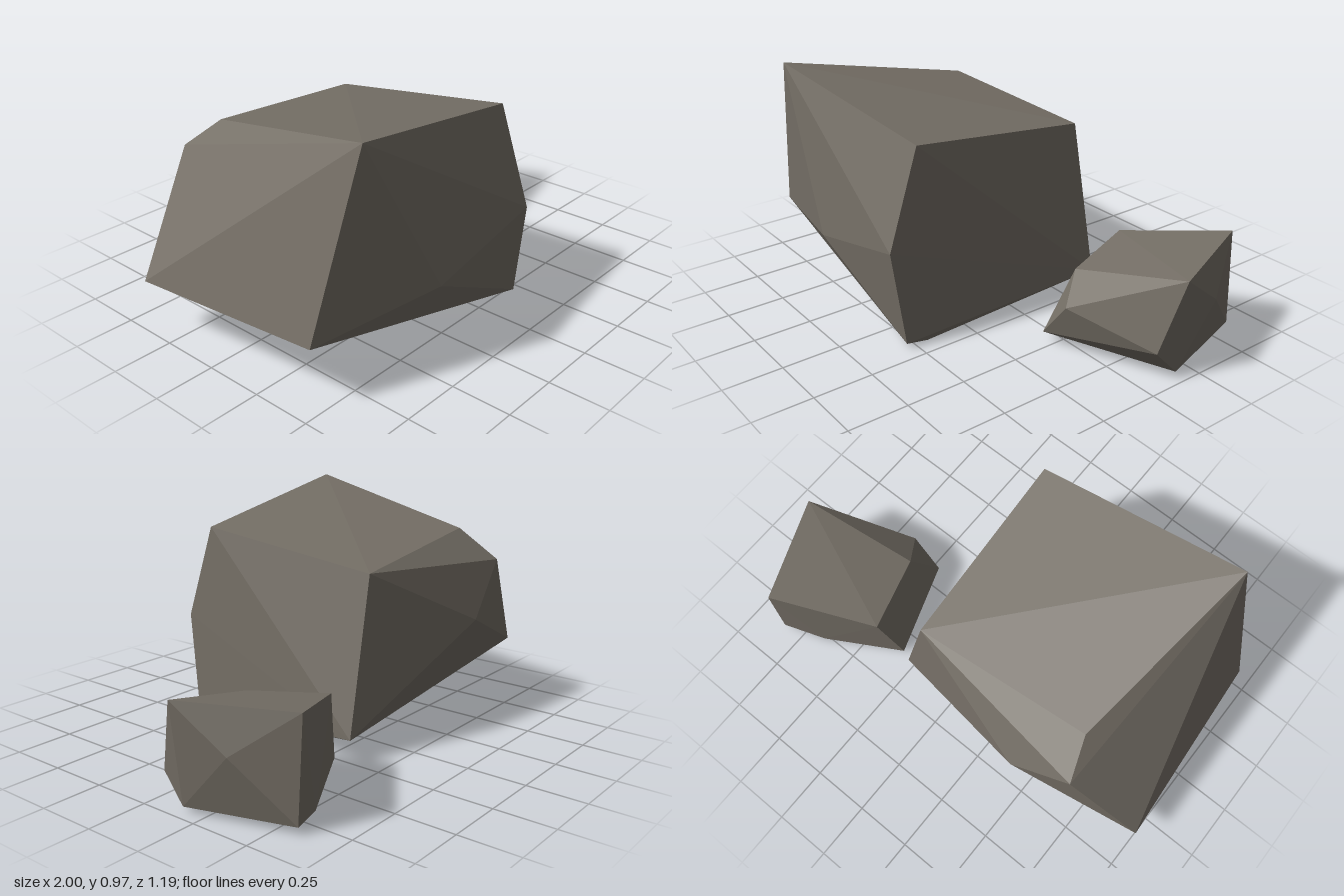
import * as THREE from 'three';
import { ConvexGeometry } from 'three/addons/geometries/ConvexGeometry.js';

// Faceted boulder: the hull around its corner points
function boulder(name, corners, material) {
  const points = corners.map(([x, y, z]) => new THREE.Vector3(x, y, z));
  const mesh = new THREE.Mesh(new ConvexGeometry(points), material);
  mesh.name = name;
  return mesh;
}

export function createModel() {
  const group = new THREE.Group();
  group.name = 'rocks';
  const stone = new THREE.MeshStandardMaterial({ color: 0x756f66 });
  stone.name = 'stone';

  group.add(boulder('largeRock', [
    // top
    [-0.74, 0.97, 0.54], [0.16, 0.84, 0.46], [0.13, 0.745, -0.36], [-0.63, 0.81, -0.3],
    // back shoulder
    [-0.69, 0.68, -0.46], [-0.44, 0.465, -0.508],
    // front bulge
    [-0.38, 0.305, 0.594], [0.165, 0.43, 0.597],
    // underside
    [-1, 0.23, -0.37], [-0.94, 0.255, 0.47], [0.18, 0.025, 0.545], [0.17, 0, 0.44], [0.26, 0.1, -0.37],
  ], stone));

  group.add(boulder('smallRock', [
    // top
    [0.4, 0.34, -0.385], [0.82, 0.436, -0.595], [1, 0.43, -0.147], [0.5, 0.305, -0.05],
    // sides
    [0.59, 0.21, 0.076], [0.95, 0.13, -0.06], [0.95, 0.26, -0.37],
    // underside
    [0.46, 0.045, 0.076], [0.32, 0.042, -0.34], [0.66, 0.003, -0.52], [0.84, 0.03, -0.59], [0.96, 0.022, -0.16],
  ], stone));

  return group;
}
